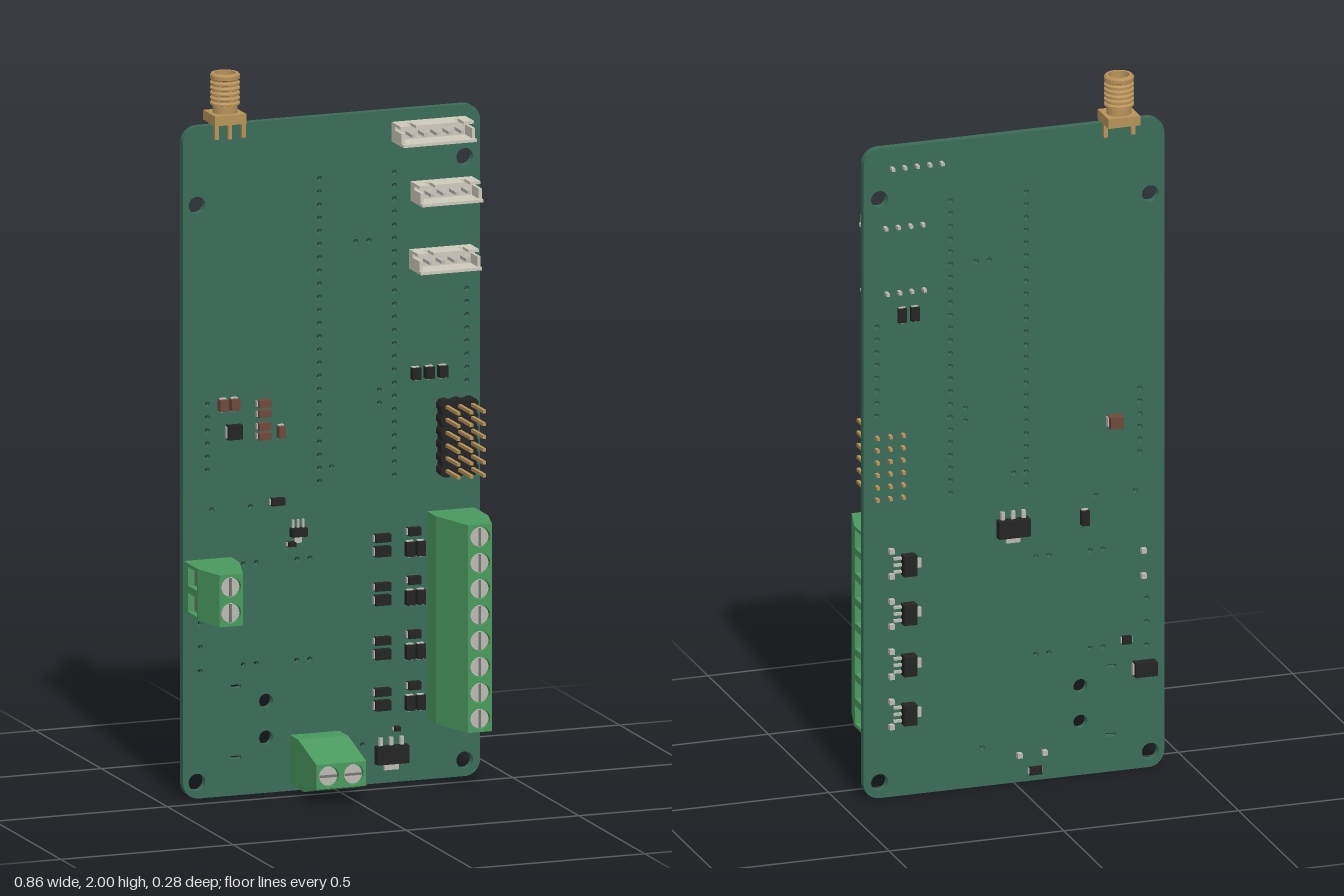
import * as THREE from 'three';

const mat = (color) => new THREE.MeshStandardMaterial({ color });
const M = {
  board: mat(0x3b6c58), green: mat(0x4a9a5f), gold: mat(0xb8935a), black: mat(0x242424),
  white: mat(0xcfcbbb), metal: mat(0xbcbab4), brown: mat(0x6e4a3c), slot: mat(0x77746e),
};
const FRONT = -0.064, BACK = -0.087; // board faces

function add(parent, name, geo, material, x = 0, y = 0, z = 0) {
  const m = new THREE.Mesh(geo, material);
  m.name = name;
  m.position.set(x, y, z);
  parent.add(m);
  return m;
}
const box = (parent, name, w, h, d, material, x, y, z) =>
  add(parent, name, new THREE.BoxGeometry(w, h, d), material, x, y, z);

function rectPath(x0, y0, x1, y1, P = THREE.Path) {
  return new P([[x0, y0], [x1, y0], [x1, y1], [x0, y1]].map((p) => new THREE.Vector2(...p)));
}
const circlePath = (x, y, r) => new THREE.Path().absarc(x, y, r, 0, Math.PI * 2, true);
const extrude = (shape, depth, curveSegments = 8) =>
  new THREE.ExtrudeGeometry(shape, { depth, bevelEnabled: false, curveSegments });

// Rounded board with mounting holes, vias and slots
function board(g) {
  const w = 0.43, h = 1.863, r = 0.045, s = new THREE.Shape();
  s.absarc(w - r, r, r, -Math.PI / 2, 0);
  s.absarc(w - r, h - r, r, 0, Math.PI / 2);
  s.absarc(-w + r, h - r, r, Math.PI / 2, Math.PI);
  s.absarc(-w + r, r, r, Math.PI, Math.PI * 1.5);
  const hole = (x, y, rad = 0.0075) => s.holes.push(circlePath(x, y, rad));
  [[-0.39, 0.045], [0.385, 0.045], [0.385, 1.718], [-0.39, 1.645]].forEach((p) => hole(...p, 0.024));
  [[-0.19, 0.255], [-0.19, 0.153]].forEach((p) => hole(...p, 0.02));
  const column = (x, top, n, pitch = 0.0365) => {
    for (let i = 0; i < n; i++) hole(x, top - i * pitch);
  };
  column(-0.035, 1.69, 24);
  column(0.182, 1.69, 24);
  column(0.392, 1.352, 8);
  column(-0.36, 1.09, 6);
  column(0.138, 1.09, 2);
  column(-0.38, 0.485, 3, 0.067);
  for (const y of [0.64, 0.36]) for (const x of [-0.255, -0.218, -0.1, -0.063]) hole(x, y);
  [[0.07, 1.507], [0.108, 1.507], [0, 0.888], [-0.347, 0.797], [-0.235, 0.797], [0.09, 0.11]].forEach((p) => hole(...p));
  for (const y of [0.302, 0.105]) s.holes.push(rectPath(-0.292, y - 0.005, -0.262, y + 0.005));
  add(g, 'circuitBoard', extrude(s, FRONT - BACK), M.board, 0, 0, BACK);
}

// Screw terminal: wires enter from local -y, screws face +z
function terminal(g, name, n, x, y, turn) {
  const t = new THREE.Group(), pitch = 0.072, L = n * pitch;
  t.name = name;
  t.position.set(x, y, 0);
  t.rotation.z = turn;
  g.add(t);
  // tapered body, extruded along the row
  const profile = new THREE.Shape([[-0.05, FRONT], [0.068, FRONT], [0.068, 0], [0.0315, 0.122],
    [-0.046, 0.122], [-0.068, 0.042], [-0.05, 0.042]].map((p) => new THREE.Vector2(...p)));
  const body = extrude(profile, L).applyMatrix4(new THREE.Matrix4().makeBasis(
    new THREE.Vector3(0, 1, 0), new THREE.Vector3(0, 0, 1), new THREE.Vector3(1, 0, 0)));
  add(t, 'terminalBody', body, M.green, -L / 2);
  // wire entry plate and screw cover, both with one opening per pole
  const entry = rectPath(-L / 2, FRONT, L / 2, 0.042, THREE.Shape);
  const cover = rectPath(-L / 2, -0.042, L / 2, 0.027, THREE.Shape);
  for (let i = 0; i < n; i++) {
    const px = (i - (n - 1) / 2) * pitch;
    entry.holes.push(rectPath(px - 0.026, -0.032, px + 0.026, 0.035));
    cover.holes.push(circlePath(px, -0.008, 0.029));
    box(t, 'wireClamp', 0.036, 0.006, 0.04, M.slot, px, -0.05, 0);
    add(t, 'screw', new THREE.CylinderGeometry(0.026, 0.026, 0.01, 20).rotateX(Math.PI / 2), M.metal, px, -0.008, 0.127);
    box(t, 'screwSlot', 0.05, 0.007, 0.002, M.slot, px, -0.008, 0.132);
    box(t, 'terminalPin', 0.014, 0.014, 0.03, M.metal, px, -0.008, BACK);
  }
  add(t, 'entryPlate', extrude(entry, 0.018).rotateX(Math.PI / 2), M.green, 0, -0.05, 0);
  const coverGeo = extrude(cover, 0.015, 12), p = coverGeo.attributes.position;
  for (let i = 0; i < p.count; i++) { // continue the taper of the body
    if (p.getZ(i) > 0.001) continue;
    if (p.getY(i) < -0.0415) p.setY(i, -0.046);
    if (p.getY(i) > 0.0265) p.setY(i, 0.0315);
  }
  coverGeo.computeVertexNormals();
  add(t, 'screwCover', coverGeo, M.green, 0, 0, 0.122);
}

// White plug socket: open tray with a tall lower wall and straight pins
function socket(g, n, x, y) {
  const s = new THREE.Group(), pitch = 0.0355, w = n * pitch + 0.035;
  s.name = 'plugSocket';
  s.position.set(x, y, FRONT);
  g.add(s);
  box(s, 'socketBase', w, 0.054, 0.024, M.white, 0, 0, 0.012);
  box(s, 'lowerWall', w, 0.008, 0.089, M.white, 0, -0.023, 0.0445);
  for (const k of [-1, 1]) {
    box(s, 'endWall', 0.009, 0.036, 0.076, M.white, k * (w / 2 - 0.0045), -0.009, 0.038);
    box(s, 'upperWallEnd', 0.03, 0.008, 0.066, M.white, k * (w / 2 - 0.015), 0.023, 0.033);
  }
  box(s, 'upperWall', w - 0.09, 0.008, 0.066, M.white, 0, 0.023, 0.033);
  for (let i = 0; i < n; i++) {
    box(s, 'socketPin', 0.009, 0.009, 0.115, M.metal, (i - (n - 1) / 2) * pitch, 0, 0.015);
  }
}

// Threaded coaxial connector on the top edge
function antennaConnector(g) {
  const c = new THREE.Group();
  c.name = 'antennaConnector';
  c.position.set(-0.298, 0, -0.093);
  g.add(c);
  box(c, 'flange', 0.091, 0.027, 0.091, M.gold, 0, 1.877, 0);
  const pts = [[0, 1.89], [0.034, 1.89], [0.034, 1.912]];
  for (let i = 0; i < 5; i++) {
    const y = 1.914 + i * 0.014;
    pts.push([0.041, y], [0.041, y + 0.005], [0.035, y + 0.009], [0.035, y + 0.012]);
  }
  pts.push([0.041, 1.985], [0.041, 1.995], [0.037, 2], [0.029, 2], [0.029, 1.955], [0, 1.955]);
  const barrel = add(c, 'threadedBarrel', new THREE.LatheGeometry(pts.map((p) => new THREE.Vector2(...p)), 28), M.gold);
  barrel.material = new THREE.MeshStandardMaterial({ color: 0xb8935a, flatShading: true });
  add(c, 'centreContact', new THREE.CylinderGeometry(0.008, 0.008, 0.03, 12), M.gold, 0, 1.968, 0);
  box(c, 'centreLeg', 0.011, 0.045, 0.011, M.gold, 0, 1.845, 0.035);
  for (const x of [-0.039, 0.039]) for (const z of [-0.001, 0.037]) {
    box(c, 'groundLeg', 0.012, 0.042, 0.012, M.gold, x, 1.846, z);
  }
}

// Black pin header, 3 columns by 6 rows
function pinHeader(g) {
  for (let i = 0; i < 3; i++) for (let j = 0; j < 6; j++) {
    const x = 0.32 + i * 0.037, y = 0.859 + j * 0.0355;
    const block = new THREE.CylinderGeometry(0.0258, 0.0258, 0.036, 8).rotateY(Math.PI / 8).rotateX(Math.PI / 2);
    block.scale(0.75, 0.75, 1);
    add(g, 'headerBlock', block, M.black, x, y, FRONT + 0.018);
    box(g, 'headerPin', 0.009, 0.009, 0.168, M.gold, x, y, -0.021);
  }
  box(g, 'headerCore', 0.1, 0.206, 0.035, M.black, 0.357, 0.948, FRONT + 0.0175);
}

// Surface-mounted body with metal end caps along its longer side
function chip(g, x, y, w, h, material = M.black, d = 0.02, back = false) {
  const z = back ? BACK - d / 2 : FRONT + d / 2, wide = w >= h;
  box(g, 'chip', w, h, d, material, x, y, z);
  for (const k of [-1, 1]) {
    box(g, 'chipEnd', wide ? 0.006 : w * 0.8, wide ? h * 0.8 : 0.006, d * 0.5, M.metal,
      x + (wide ? k * w / 2 : 0), y + (wide ? 0 : k * h / 2), back ? BACK - d / 4 : FRONT + d / 4);
  }
}

// Leaded package with three legs on one side and a tab on the other
function transistor(g, x, y, w, h, d, turn, back) {
  const t = new THREE.Group(), s = back ? -1 : 1;
  t.name = 'transistor';
  t.position.set(x, y, back ? BACK : FRONT);
  t.rotation.z = turn;
  g.add(t);
  box(t, 'transistorBody', w, h, d, M.black, 0, 0, s * d / 2);
  for (const k of [-1, 0, 1]) box(t, 'leg', w * 0.12, 0.025, 0.009, M.metal, k * w * 0.33, h / 2 + 0.01, s * 0.006);
  box(t, 'tab', w * 0.45, 0.02, 0.009, M.metal, 0, -h / 2 - 0.008, s * 0.006);
}

export function createModel() {
  const g = new THREE.Group();
  g.name = 'controllerBoard';
  board(g);
  terminal(g, 'rightTerminal', 8, 0.345, 0.455, Math.PI / 2);
  terminal(g, 'leftTerminal', 2, -0.36, 0.59, -Math.PI / 2);
  terminal(g, 'bottomTerminal', 2, -0.049, 0.087, 0);
  socket(g, 5, 0.28, 1.804);
  socket(g, 4, 0.317, 1.635);
  socket(g, 4, 0.313, 1.447);
  antennaConnector(g);
  pinHeader(g);

  // front: repeated driver channels
  for (const y of [0.645, 0.51, 0.36, 0.218]) {
    chip(g, 0.143, y, 0.044, 0.028);
    chip(g, 0.143, y + 0.037, 0.044, 0.022);
    chip(g, 0.235, y + 0.048, 0.036, 0.022);
    for (const x of [0.223, 0.254]) chip(g, x, y, 0.024, 0.04);
  }
  // front: loose parts
  for (const x of [0.24, 0.279, 0.318]) chip(g, x, 1.13, 0.025, 0.032);
  chip(g, -0.285, 1.01, 0.042, 0.04);
  chip(g, -0.16, 0.807, 0.038, 0.02);
  transistor(g, -0.1, 0.718, 0.045, 0.024, 0.022, 0, false);
  chip(g, -0.12, 0.686, 0.02, 0.012);
  chip(g, 0.185, 0.15, 0.016, 0.012);
  transistor(g, 0.17, 0.08, 0.092, 0.05, 0.024, 0, false);
  for (const x of [-0.318, -0.285]) chip(g, x, 1.087, 0.024, 0.032, M.brown, 0.022);
  for (const y of [1.083, 1.055, 1.02, 0.993]) chip(g, -0.2, y, 0.036, 0.02, M.brown, 0.022);
  chip(g, -0.15, 1.0, 0.02, 0.034, M.brown, 0.022);

  // back parts
  for (const y of [0.665, 0.525, 0.378, 0.237]) transistor(g, 0.305, y, 0.058, 0.038, 0.03, -Math.PI / 2, true);
  transistor(g, 0.005, 0.735, 0.09, 0.05, 0.025, 0, true);
  chip(g, -0.2, 0.74, 0.022, 0.042, M.black, 0.018, true);
  chip(g, -0.285, 1.008, 0.038, 0.034, M.brown, 0.032, true);
  for (const x of [0.285, 0.322]) chip(g, x, 1.38, 0.024, 0.04, M.black, 0.012, true);
  chip(g, -0.37, 0.29, 0.062, 0.04, M.black, 0.03, true);
  chip(g, -0.32, 0.375, 0.026, 0.022, M.black, 0.014, true);
  chip(g, -0.06, 0.03, 0.036, 0.022, M.black, 0.012, true);
  return g;
}
